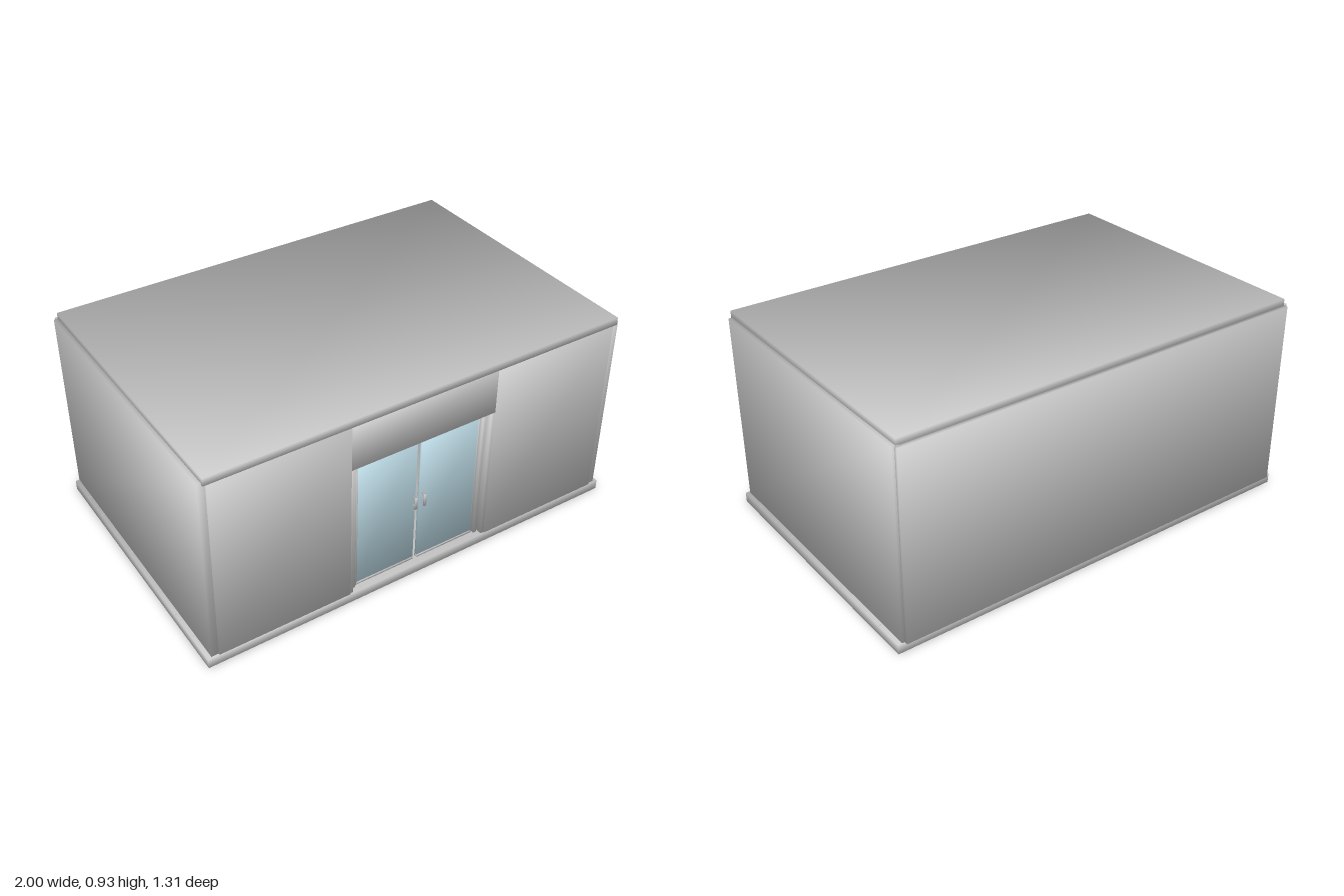
import * as THREE from 'three';

const material = (color) => new THREE.MeshStandardMaterial({ color });
const grey = material(0xcccccc);
const glass = material(0xbfdde8);
const goodsColors = [0x2f6fd0, 0xe0b020, 0xc8562c, 0xd8d8d8, 0x3a8a4a, 0x3a3f58].map(material);

// Box given by its limits, with normals shared and averaged at each corner
function slab(parent, name, [x0, x1], [y0, y1], [z0, z1], mat = grey) {
  const geo = new THREE.BoxGeometry(x1 - x0, y1 - y0, z1 - z0);
  const p = geo.attributes.position, n = geo.attributes.normal;
  const k = 1 / Math.sqrt(3);
  for (let i = 0; i < p.count; i++) {
    n.setXYZ(i, Math.sign(p.getX(i)) * k, Math.sign(p.getY(i)) * k, Math.sign(p.getZ(i)) * k);
  }
  const mesh = new THREE.Mesh(geo, mat);
  mesh.name = name;
  mesh.position.set((x0 + x1) / 2, (y0 + y1) / 2, (z0 + z1) / 2);
  parent.add(mesh);
  return mesh;
}

// Mirrors an x range to the other side when side is -1
const mirror = (side, a, b) => (side > 0 ? [a, b] : [-b, -a]);

function group(parent, name) {
  const g = new THREE.Group();
  g.name = name;
  parent.add(g);
  return g;
}

// Shelf rack of the given width, facing +z, with rows of goods
function shelfRack(parent, name, width) {
  const rack = group(parent, name);
  const w = width / 2;
  slab(rack, 'rackBack', [-w, w], [0, 0.68], [0, 0.012]);
  for (const s of [-1, 1]) slab(rack, 'rackSide', mirror(s, w - 0.012, w), [0, 0.68], [0.012, 0.14]);
  for (let level = 0; level < 5; level++) {
    const y = 0.03 + level * 0.13;
    slab(rack, 'shelf', [-w + 0.012, w - 0.012], [y, y + 0.012], [0.012, 0.14]);
    const count = Math.floor((width - 0.04) / 0.07);
    for (let i = 0; i < count; i++) {
      const x = (i - (count - 1) / 2) * 0.07;
      const height = 0.06 + 0.012 * ((i * 3 + level * 2) % 4);
      slab(rack, 'goods', [x - 0.026, x + 0.026], [y + 0.012, y + 0.012 + height], [0.04, 0.12],
        goodsColors[(i + level * 2) % goodsColors.length]);
    }
  }
  return rack;
}

export function createModel() {
  const model = new THREE.Group();
  model.name = 'shopBuilding';

  // Floor slab with tile joints
  const floor = group(model, 'floor');
  slab(floor, 'floorSlab', [-1, 1], [0, 0.045], [-0.635, 0.65]);
  const tile = 1 / 7;
  for (let i = -6; i <= 6; i++) {
    slab(floor, 'tileJoint', [i * tile - 0.001, i * tile + 0.001], [0.044, 0.046], [-0.634, 0.649]);
  }
  for (let i = 1; i < 9; i++) {
    const z = 0.652 - i * 0.1435;
    slab(floor, 'tileJoint', [-0.999, 0.999], [0.044, 0.046], [z - 0.001, z + 0.001]);
  }

  // Roof and walls
  slab(model, 'roof', [-0.965, 0.965], [0.895, 0.93], [-0.635, 0.653]);
  slab(model, 'backWall', [-0.97, 0.97], [0.045, 0.9], [-0.652, -0.635]);
  for (const s of [-1, 1]) {
    slab(model, 'sideWall', mirror(s, 0.95, 0.982), [0.045, 0.903], [-0.635, 0.642]);
    slab(model, 'frontWall', mirror(s, 0.345, 0.95), [0.045, 0.895], [0.622, 0.65]);
  }
  slab(model, 'doorHeader', [-0.345, 0.345], [0.69, 0.895], [0.622, 0.65]);

  // Entrance posts and glass doors
  const entrance = group(model, 'entrance');
  for (const s of [-1, 1]) {
    slab(entrance, 'outerPost', mirror(s, 0.33, 0.345), [0.045, 0.69], [0.6, 0.645]);
    slab(entrance, 'innerPost', mirror(s, 0.306, 0.322), [0.045, 0.69], [0.6, 0.625]);

    const door = group(entrance, s > 0 ? 'leftDoor' : 'rightDoor');
    door.position.x = -0.003;
    slab(door, 'doorGlass', mirror(s, 0.01, 0.296), [0.06, 0.69], [0.606, 0.618], glass);
    slab(door, 'doorBottomRail', mirror(s, 0.01, 0.296), [0.05, 0.062], [0.604, 0.62]);
    slab(door, 'doorEdge', mirror(s, 0.293, 0.298), [0.05, 0.69], [0.604, 0.62]);

    // Pull handle on two short stems
    slab(door, 'handleBar', mirror(s, 0.017, 0.027), [0.345, 0.405], [0.636, 0.644]);
    for (const y of [0.352, 0.392]) {
      slab(door, 'handleStem', mirror(s, 0.019, 0.025), [y, y + 0.006], [0.616, 0.638]);
    }
  }

  // Stocked shelf racks along the back and sides
  const interior = group(model, 'interior');
  shelfRack(interior, 'backRack', 1.5).position.set(0, 0.045, -0.63);
  for (const s of [-1, 1]) {
    const rack = shelfRack(interior, 'sideRack', 0.9);
    rack.position.set(s * 0.945, 0.045, 0.05);
    rack.rotation.y = -s * Math.PI / 2;
  }
  return model;
}
